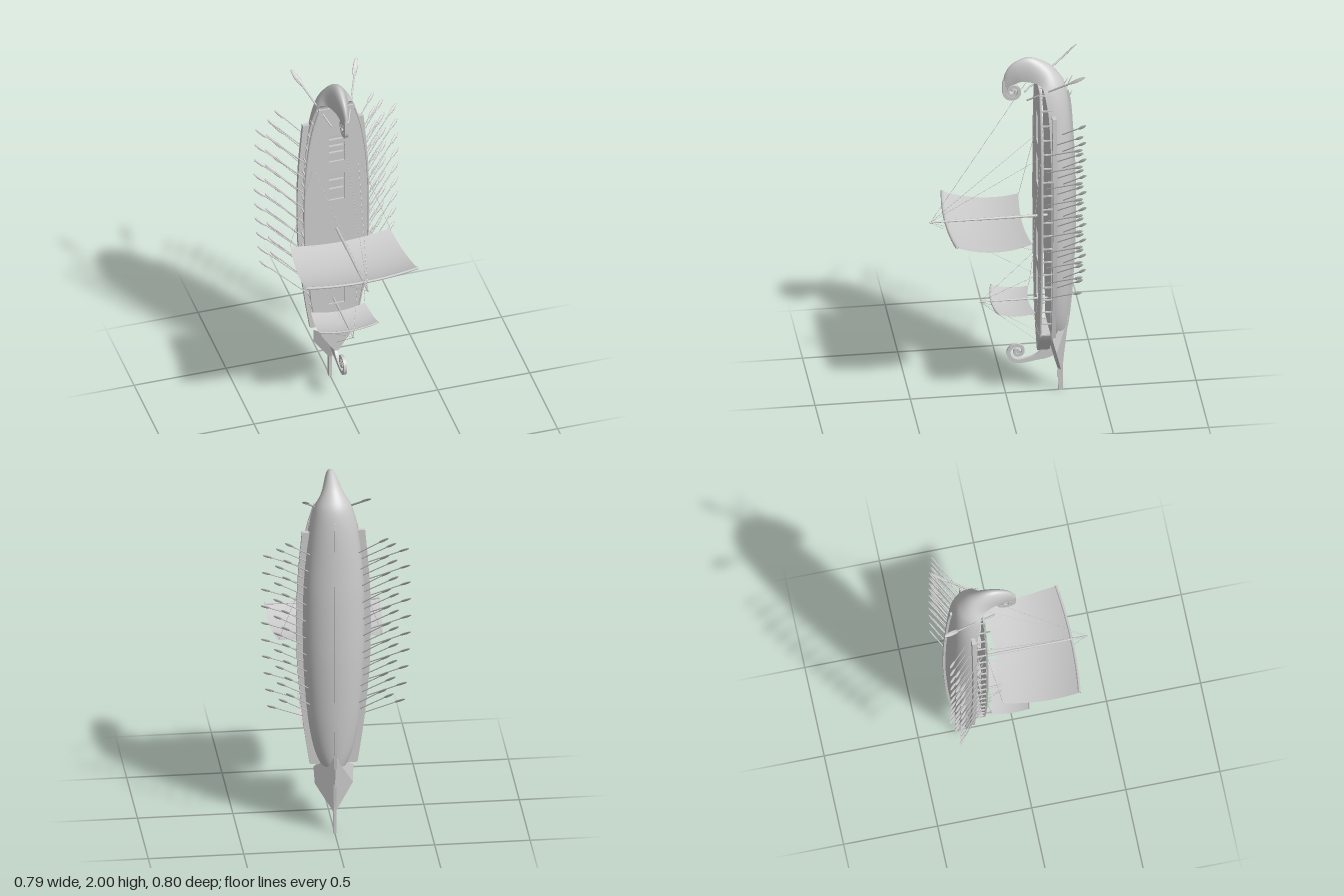
import * as THREE from 'three';

const V = (x, y, z) => new THREE.Vector3(x, y, z);
const grey = new THREE.MeshStandardMaterial({ color: 0xcccccc, side: THREE.DoubleSide });
const flat = new THREE.MeshStandardMaterial({ color: 0xcccccc, side: THREE.DoubleSide, flatShading: true });

function add(parent, name, geometry, material = grey) {
  const mesh = new THREE.Mesh(geometry, material);
  mesh.name = name;
  parent.add(mesh);
  return mesh;
}

// smooth curve through [x, y, z] rows, sampled by a shared parameter
const spline = rows => new THREE.CatmullRomCurve3(rows.map(r => V(...r)), false, 'catmullrom', 0.5);

// grid whose vertices are placed by fn(u, v)
function surface(nu, nv, fn) {
  const g = new THREE.PlaneGeometry(1, 1, nu, nv);
  const p = g.attributes.position;
  for (let i = 0; i < p.count; i++) {
    const q = fn(p.getX(i) + 0.5, p.getY(i) + 0.5);
    p.setXYZ(i, q.x, q.y, q.z);
  }
  g.computeVertexNormals();
  return g;
}

// straight round bar between two points
function bar(a, b, r, sides = 6, r2 = r) {
  const d = b.clone().sub(a);
  const g = new THREE.CylinderGeometry(r2, r, d.length(), sides);
  g.applyQuaternion(new THREE.Quaternion().setFromUnitVectors(V(0, 1, 0), d.normalize()));
  return g.translate((a.x + b.x) / 2, (a.y + b.y) / 2, (a.z + b.z) / 2);
}

// flat band in the centre plane; rows are [z, y, half width]
function ribbon(rows, depth, samples = 80) {
  const pts = spline(rows.map(([z, y, w]) => [z, y, w])).getPoints(samples);
  const left = [], right = [];
  pts.forEach((p, i) => {
    const a = pts[Math.max(i - 1, 0)], b = pts[Math.min(i + 1, samples)];
    const l = Math.hypot(b.x - a.x, b.y - a.y);
    const nx = -(b.y - a.y) / l * p.z, ny = (b.x - a.x) / l * p.z;
    left.push(new THREE.Vector2(p.x + nx, p.y + ny));
    right.unshift(new THREE.Vector2(p.x - nx, p.y - ny));
  });
  const g = new THREE.ExtrudeGeometry(new THREE.Shape([...left, ...right]), { depth, bevelEnabled: false });
  return g.rotateY(-Math.PI / 2).translate(depth / 2, 0, 0);
}

// rows of a spiral winding inwards
function spiral(cz, cy, r0, r1, start, turns, w0, w1, power = 1) {
  return Array.from({ length: 25 }, (_, i) => {
    const t = i / 24, r = r1 + (r0 - r1) * (1 - t) ** power, a = start + turns * Math.PI * 2 * t;
    return [cz + r * Math.cos(a), cy + r * Math.sin(a), w0 + (w1 - w0) * t];
  });
}

// piecewise-smooth half width along the ship
function widthAt(rows, y) {
  let i = 0;
  while (i < rows.length - 2 && y > rows[i + 1][0]) i++;
  const [a, b] = [rows[i], rows[i + 1]];
  const p = rows[i - 1] || a, n = rows[i + 2] || b, h = b[0] - a[0];
  const t = THREE.MathUtils.clamp((y - a[0]) / h, 0, 1);
  const m0 = (b[1] - p[1]) / (b[0] - p[0]) * h, m1 = (n[1] - a[1]) / (n[0] - a[0]) * h;
  return (2 * t ** 3 - 3 * t * t + 1) * a[1] + (t ** 3 - 2 * t * t + t) * m0
    + (3 * t * t - 2 * t ** 3) * b[1] + (t ** 3 - t * t) * m1;
}
const DECK = [[0.25, 0.01], [0.38, 0.09], [0.5, 0.122], [0.7, 0.152], [1, 0.174], [1.3, 0.174], [1.5, 0.163], [1.7, 0.135], [1.84, 0.095]];
const SHELF = [[0.38, 0.125], [0.6, 0.157], [0.8, 0.178], [1, 0.192], [1.3, 0.193], [1.5, 0.183], [1.71, 0.165]];

// mirrored plan outline, extruded towards +z
function plate(rows, y0, y1, z, depth, holes = []) {
  const side = Array.from({ length: 31 }, (_, i) => {
    const y = y0 + (y1 - y0) * i / 30;
    return new THREE.Vector2(widthAt(rows, y), y);
  });
  const shape = new THREE.Shape([...side, ...side.map(p => new THREE.Vector2(-p.x, p.y)).reverse()]);
  for (const [a, b] of holes) {
    shape.holes.push(new THREE.Path([[-0.042, a], [-0.042, b], [0.042, b], [0.042, a]].map(p => new THREE.Vector2(...p))));
  }
  return new THREE.ExtrudeGeometry(shape, { depth, bevelEnabled: false }).translate(0, 0, z);
}

// oar with a leaf-shaped blade at the tip
function oar(parent, name, inner, tip, r, bladeLength, bladeWidth) {
  const g = new THREE.Group();
  g.name = name;
  parent.add(g);
  const dir = tip.clone().sub(inner).normalize();
  add(g, 'shaft', bar(inner, tip.clone().addScaledVector(dir, -bladeLength * 0.5), r, 5));
  const blade = add(g, 'blade', new THREE.SphereGeometry(1, 8, 8).scale(bladeWidth, bladeLength / 2, 0.0035));
  blade.quaternion.setFromUnitVectors(V(0, 1, 0), dir);
  blade.position.copy(tip).addScaledVector(dir, -bladeLength / 2);
}

// sail billowing towards the bow, with a curved yard
function sail(parent, name, s) {
  const at = (u, v) => {
    const k = 2 * u - 1, x = k * (s.foot + (s.head - s.foot) * Math.sin(v * Math.PI / 2));
    const bow = 1 - k * k;
    return V(x, s.y0 + (s.y1 - s.y0) * v - s.belly * 4 * v * (1 - v) - s.sag * bow, s.z0 + (s.z1 - s.z0) * v + 0.02 * bow);
  };
  add(parent, name, surface(20, 20, at));
  const yard = new THREE.CatmullRomCurve3(Array.from({ length: 9 }, (_, i) => at(i / 8, 1)));
  add(parent, name + 'Yard', new THREE.TubeGeometry(yard, 24, s.r, 6));
}

export function createModel() {
  const ship = new THREE.Group();
  ship.name = 'galley';

  // hull: keel line, top line and half width share one parameter
  const keel = [[0.27, -0.285], [0.38, -0.315], [0.5, -0.33], [0.7, -0.345], [1, -0.357], [1.3, -0.355], [1.5, -0.346], [1.7, -0.333],
    [1.83, -0.312], [1.9, -0.275], [1.96, -0.215], [2, -0.125], [1.975, -0.045], [1.92, 0], [1.84, 0.018]];
  const top = [[0.27, -0.23], [0.38, -0.225], [0.5, -0.222], [0.7, -0.22], [1, -0.22], [1.3, -0.22], [1.5, -0.218], [1.7, -0.21],
    [1.81, -0.195], [1.85, -0.185], [1.87, -0.16], [1.875, -0.115], [1.872, -0.075], [1.855, -0.045], [1.835, -0.005]];
  const half = [0.01, 0.07, 0.112, 0.143, 0.162, 0.163, 0.154, 0.132, 0.108, 0.088, 0.062, 0.042, 0.03, 0.02, 0.01];
  const K = spline(keel.map(([y, z]) => [0, y, z]));
  const T = spline(top.map(([y, z], i) => [half[i], y, z]));
  add(ship, 'hull', surface(24, 70, (u, v) => {
    const k = K.getPoint(v), t = T.getPoint(v), a = u * Math.PI;
    const p = t.clone().lerp(k, Math.sin(a) ** 0.85);
    return V(t.x * Math.cos(a), p.y, p.z);
  }));
  add(ship, 'lowerDeck', surface(2, 70, (u, v) => {
    const t = T.getPoint(v);
    return V(t.x * (2 * u - 1), t.y, t.z);
  }));
  add(ship, 'keel', ribbon([...keel.slice(1, 8).map(([y, z]) => [z, y, 0.012]), [-0.322, 1.79, 0.01]], 0.015));

  // scrolls at stern and bow, and the ram
  add(ship, 'sternScroll', ribbon([[0, 1.87, 0.018], ...spiral(-0.037, 1.803, 0.045, 0.006, 0.2, -2, 0.011, 0.004)], 0.02, 120));
  add(ship, 'bowScroll', ribbon([[-0.26, 0.27, 0.05], [-0.21, 0.228, 0.032], [-0.16, 0.205, 0.016], [-0.11, 0.192, 0.012],
    ...spiral(-0.062, 0.245, 0.058, 0.005, -1.8, 2.1, 0.011, 0.004, 1.7)], 0.016, 140));
  add(ship, 'ram', ribbon([[-0.288, 0, 0.012], [-0.287, 0.1, 0.013], [-0.284, 0.17, 0.018], [-0.272, 0.28, 0.042]], 0.016, 24));

  // pointed wings that join the ram to the hull
  for (const s of [-1, 1]) {
    const c = [V(0, 0.11, -0.293), V(s * 0.1, 0.27, -0.255), V(s * 0.105, 0.36, -0.232), V(0, 0.45, -0.335), V(0, 0.3, -0.225), V(0, 0.12, -0.275)];
    const faces = [0, 1, 3, 1, 2, 3, 5, 4, 1, 4, 2, 1, 0, 5, 1, 4, 3, 2];
    const g = new THREE.BufferGeometry().setFromPoints(faces.map(i => c[i]));
    g.computeVertexNormals();
    add(ship, 'bowWing', g, flat);
  }

  // upper deck with hatches, bow bulwark and oar shelf
  const hatches = [[0.56, 0.73], [0.79, 0.96], [1.24, 1.41], [1.49, 1.66]];
  add(ship, 'upperDeck', plate(DECK, 0.37, 1.84, -0.175, 0.009, hatches));
  add(ship, 'bowBulwark', plate(DECK, 0.25, 0.38, -0.23, 0.065));
  add(ship, 'oarShelf', plate(SHELF, 0.38, 1.71, -0.247, 0.022));
  hatches.forEach(([a, b], i) => {
    for (let j = 1; j <= i; j++) {
      const y = a + (b - a) * j / (i + 1);
      add(ship, 'hatchBeam', new THREE.BoxGeometry(0.084, 0.01, 0.012).translate(0, y, -0.186));
    }
  });

  // deck posts and edge rails
  for (const s of [-1, 1]) {
    const rail = [];
    for (let i = 0; i <= 18; i++) {
      const y = 0.38 + i * 0.08, x = s * (widthAt(DECK, y) - 0.003);
      add(ship, 'deckPost', new THREE.BoxGeometry(0.007, 0.007, 0.06).translate(x, y, -0.198));
      rail.push(V(x, y, -0.168));
    }
    add(ship, 'edgeRail', new THREE.TubeGeometry(new THREE.CatmullRomCurve3(rail), 36, 0.005, 5));
  }

  // three tiers of oars a side: [extra x, inner z, tip z, reach, y shift]
  const tiers = [[-0.005, -0.205, -0.355, 0.205, 0], [-0.035, -0.245, -0.368, 0.17, 0.04], [-0.06, -0.27, -0.388, 0.155, 0.08]];
  for (const s of [-1, 1]) {
    for (const [dx, z0, z1, reach, dy] of tiers) {
      for (let i = 0; i < 10; i++) {
        const y = 0.78 + dy + i * 0.096, x = widthAt(SHELF, y - 0.14) + dx;
        oar(ship, 'oar', V(s * (x - 0.015), y - 0.15, z0 + 0.01), V(s * (x + reach), y, z1), 0.003, 0.075, 0.009);
      }
    }
    oar(ship, 'steeringOar', V(s * 0.045, 1.77, -0.105), V(s * 0.178, 1.96, -0.397), 0.005, 0.11, 0.013);
  }

  // masts and sails
  add(ship, 'mainMast', bar(V(0, 1.05, -0.22), V(0, 1.05, 0.4), 0.008, 8, 0.005));
  add(ship, 'foreMast', bar(V(0, 0.555, -0.22), V(0, 0.555, 0.14), 0.006, 8, 0.004));
  sail(ship, 'mainSail', { head: 0.302, foot: 0.272, y0: 1.035, y1: 1.06, z0: -0.105, z1: 0.294, belly: 0.035, sag: 0.013, r: 0.008 });
  sail(ship, 'foreSail', { head: 0.16, foot: 0.147, y0: 0.55, y1: 0.562, z0: -0.14, z1: 0.055, belly: 0.015, sag: 0.008, r: 0.005 });

  // rigging
  const rope = (a, b) => add(ship, 'rope', bar(a, b, 0.001, 4));
  const mainTip = V(0, 1.05, 0.395), foreTip = V(0, 0.555, 0.136);
  rope(mainTip, V(0, 1.87, -0.12));
  rope(foreTip, V(0, 0.3, -0.17));
  for (const s of [-1, 1]) {
    rope(mainTip, V(s * 0.12, 1.46, -0.168));
    rope(mainTip, V(s * 0.14, 0.76, -0.168));
    rope(V(s * 0.272, 1.035, -0.105), V(s * 0.13, 1.46, -0.168));
    rope(foreTip, V(s * 0.12, 0.77, -0.168));
    rope(foreTip, V(s * 0.09, 0.4, -0.168));
    rope(V(s * 0.147, 0.55, -0.14), V(s * 0.14, 0.77, -0.168));
  }
  return ship;
}
